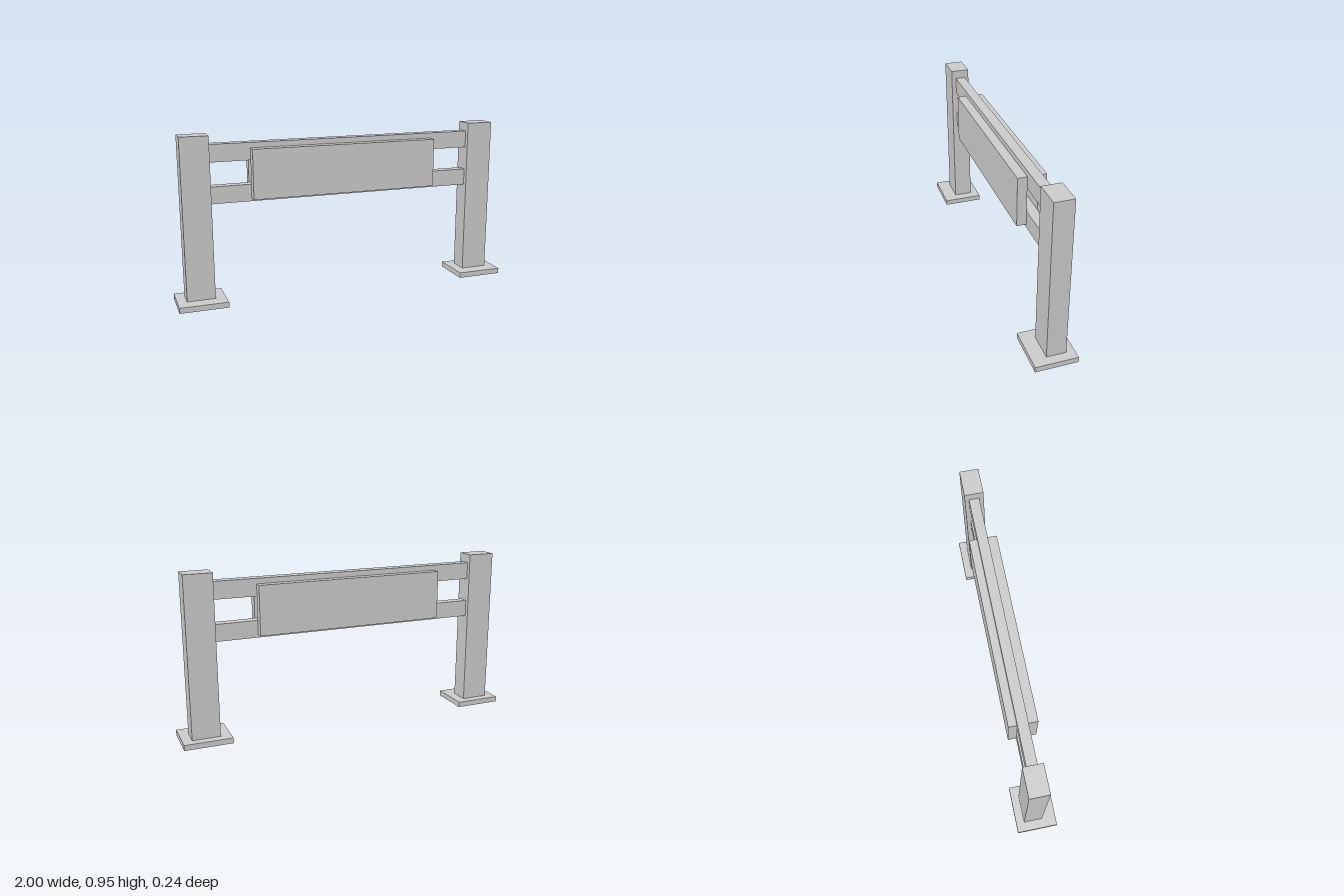
import * as THREE from 'three';

const material = new THREE.MeshStandardMaterial({ color: 0xcccccc, flatShading: true });

// Box given by its [min, max] extent on each axis
function box(name, [x0, x1], [y0, y1], [z0, z1]) {
  const mesh = new THREE.Mesh(new THREE.BoxGeometry(x1 - x0, y1 - y0, z1 - z0), material);
  mesh.position.set((x0 + x1) / 2, (y0 + y1) / 2, (z0 + z1) / 2);
  mesh.name = name;
  return mesh;
}

export function createModel() {
  const model = new THREE.Group();
  model.name = 'railBarrier';

  // Posts standing on square foot plates
  for (const [side, s] of [['left', 1], ['right', -1]]) {
    const support = new THREE.Group();
    support.name = side + 'Support';
    const span = (a, b) => (s > 0 ? [a, b] : [-b, -a]);
    support.add(
      box(side + 'FootPlate', span(0.726, 1), [0, 0.032], [-0.12, 0.12]),
      box(side + 'Post', span(0.786, 0.946), [0.032, 0.955], [-0.072, 0.038])
    );
    model.add(support);
  }

  // Horizontal rails between the posts
  const railZ = [-0.048, 0.011];
  model.add(
    box('upperRail', [-0.786, 0.786], [0.805, 0.904], railZ),
    box('lowerRail', [-0.786, 0.786], [0.572, 0.669], railZ)
  );

  // Sign panels on both faces of the rails
  const panelX = [-0.556, 0.545], panelY = [0.59, 0.873];
  model.add(
    box('frontPanel', panelX, panelY, [railZ[1], 0.065]),
    box('backPanel', panelX, panelY, [-0.094, railZ[0]])
  );
  return model;
}
